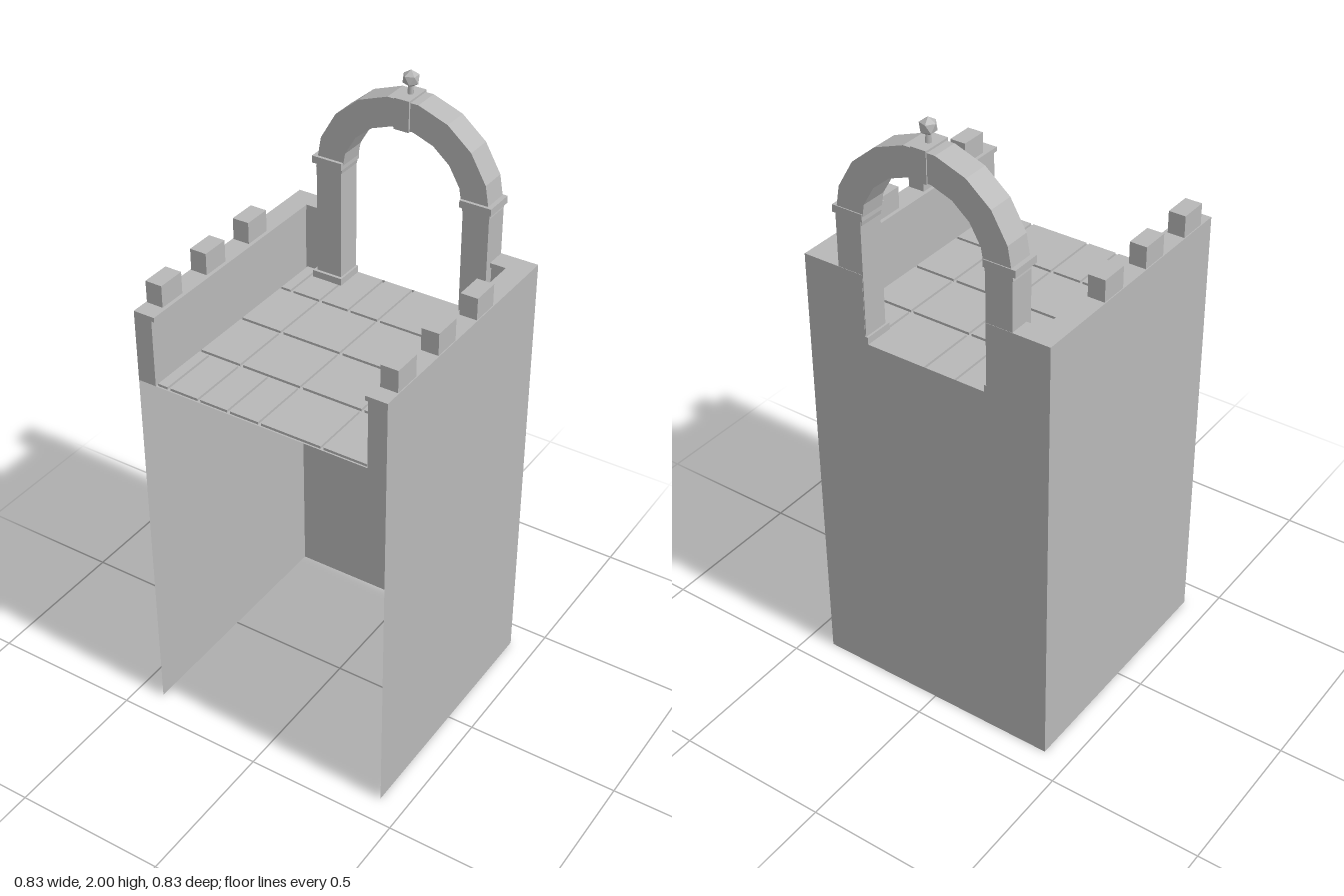
import * as THREE from 'three';

const stone = new THREE.MeshStandardMaterial({ name: 'grey stone', color: 0xb8b8b8 });
const sheet = new THREE.MeshStandardMaterial({ name: 'grey wall sheet', color: 0xb8b8b8, side: THREE.DoubleSide });

export function createModel() {
  const model = new THREE.Group();
  model.name = 'towerTop';
  const half = 0.415, floorY = 1.25, wallTop = 1.475;

  const add = (name, geometry, material = stone) => {
    const mesh = new THREE.Mesh(geometry, material);
    mesh.name = name;
    model.add(mesh);
    return mesh;
  };
  // Box given by its extents on each axis
  const box = (name, xa, xb, y0, y1, z0, z1) => {
    const x0 = Math.min(xa, xb), x1 = Math.max(xa, xb);
    return add(name, new THREE.BoxGeometry(x1 - x0, y1 - y0, z1 - z0)
      .translate((x0 + x1) / 2, (y0 + y1) / 2, (z0 + z1) / 2));
  };

  // Thin outer walls, open at the front and bottom
  const wall = () => new THREE.PlaneGeometry(2 * half, floorY).translate(0, floorY / 2, half);
  add('backWall', wall().rotateY(Math.PI), sheet);
  add('leftWall', wall().rotateY(Math.PI / 2), sheet);
  add('rightWall', wall().rotateY(-Math.PI / 2), sheet);

  // Floor bed with raised paving slabs
  add('floorBed', new THREE.PlaneGeometry(2 * half, 2 * half)
    .rotateX(-Math.PI / 2).translate(0, floorY - 0.008, 0), sheet);
  const gap = 0.005;
  const wide = [-0.355, -0.207, 0, 0.207, 0.355];
  const mixed = [-0.355, -0.312, -0.207, -0.105, 0, 0.207, 0.355];
  const rows = [-0.415, -0.208, 0, 0.207, 0.415];
  for (let r = 0; r < 4; r++) {
    const xs = r === 0 || r === 3 ? mixed : wide;
    for (let i = 0; i < xs.length - 1; i++) {
      box('pavingSlab', xs[i] + gap, xs[i + 1] - gap, floorY - 0.008, floorY,
        rows[r] + (r ? gap : 0), rows[r + 1] - gap);
    }
  }

  for (const s of [1, -1]) {
    // Parapets with a projecting coping
    box('sideParapet', s * 0.355, s * half, floorY - 0.008, wallTop, -half, half);
    box('sideCoping', s * 0.345, s * 0.36, 1.46, wallTop, -half, half);
    box('backParapet', s * 0.21, s * 0.355, floorY - 0.008, wallTop, -half, -0.358);
    box('backCoping', s * 0.29, s * 0.345, 1.46, wallTop, -0.36, -0.348);
    // Battlements
    for (const z of [-0.105, 0.105, 0.313]) {
      box('merlon', s * 0.357, s * 0.412, wallTop, 1.545, z - 0.046, z + 0.046);
    }
    // Arch pillars
    box('pillar', s * 0.207, s * 0.293, floorY, 1.65, -0.414, -0.327);
    box('pillarBase', s * 0.2, s * 0.303, floorY, 1.273, -half, -0.317);
    box('pillarCapital', s * 0.2, s * 0.303, 1.645, 1.668, -half, -0.317);
  }

  // Faceted arch ring
  const ring = new THREE.Shape();
  const steps = 9, springY = 1.63;
  const point = (radius, i) => {
    const a = Math.PI * i / steps;
    return [radius * Math.cos(a), springY + radius * Math.sin(a)];
  };
  ring.moveTo(...point(0.295, 0));
  for (let i = 1; i <= steps; i++) ring.lineTo(...point(0.295, i));
  for (let i = steps; i >= 0; i--) ring.lineTo(...point(0.205, i));
  ring.closePath();
  add('arch', new THREE.ExtrudeGeometry(ring, { depth: 0.085, bevelEnabled: false })
    .translate(0, 0, -0.412));

  // Keystone and finial
  box('keystone', -0.025, 0.025, 1.83, 1.927, -0.416, -0.32);
  add('finialStem', new THREE.CylinderGeometry(0.008, 0.01, 0.03, 5).translate(0, 1.938, -0.37));
  add('finialBall', new THREE.IcosahedronGeometry(0.027, 0)
    .rotateZ(Math.atan(2 / (1 + Math.sqrt(5)))).translate(0, 1.973, -0.37));

  return model;
}
